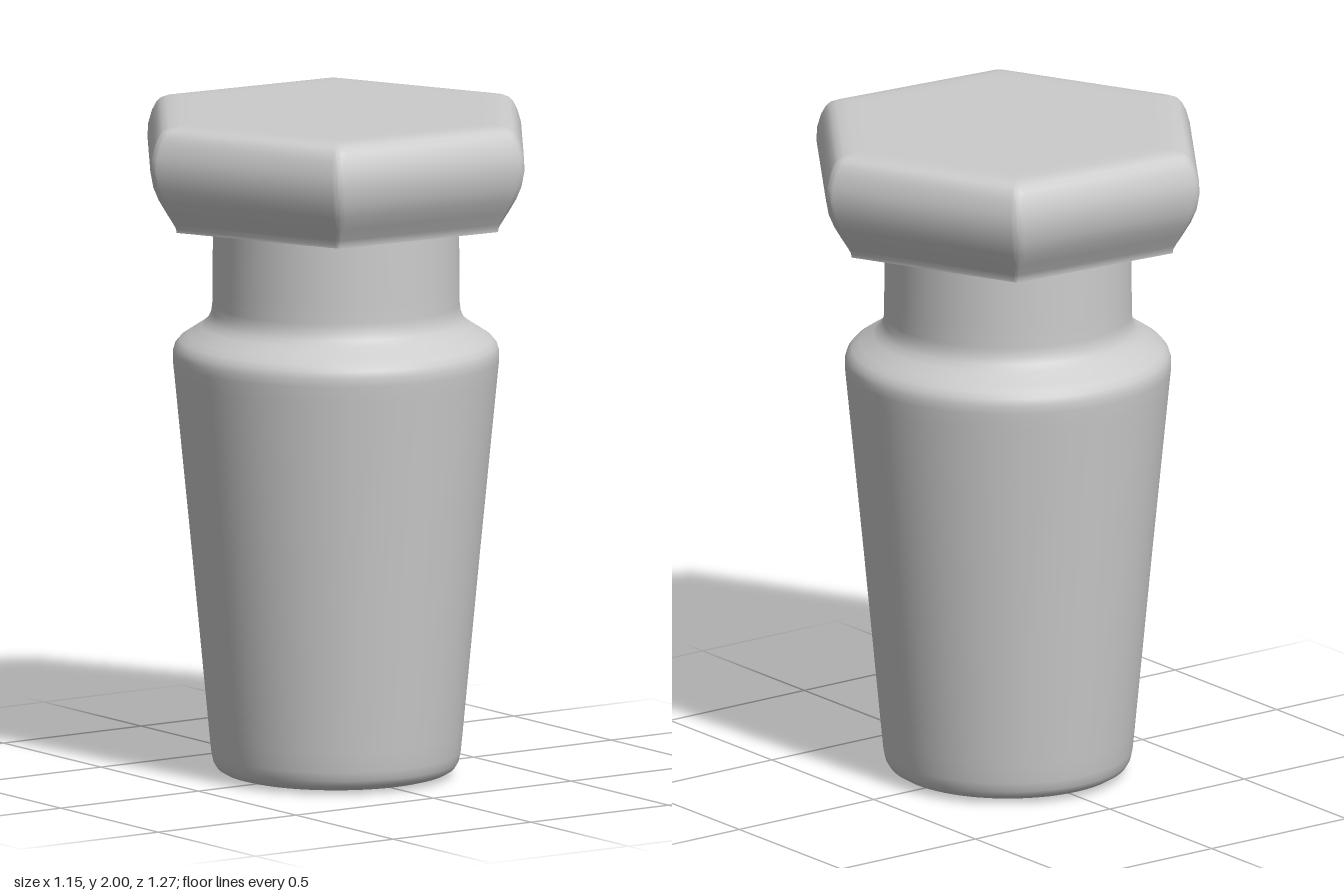
import * as THREE from 'three';
import { toCreasedNormals } from 'three/addons/utils/BufferGeometryUtils.js';

const TURN = THREE.MathUtils.degToRad(34.5); // direction of one hexagon corner
const ARC = 6; // segments per rounded corner

// Hexagon outline with rounded corners: a = centre to flat side, r = corner radius
function hexRing(y, a, r) {
  const ring = [];
  for (let k = 0; k < 6; k++) {
    const corner = TURN + k * Math.PI / 3;
    const d = (a - r) / Math.cos(Math.PI / 6);
    for (let i = 0; i <= ARC; i++) {
      const t = corner + (i / ARC - 0.5) * Math.PI / 3;
      ring.push(d * Math.cos(corner) + r * Math.cos(t), y, d * Math.sin(corner) + r * Math.sin(t));
    }
  }
  return ring;
}

// Skin stacked rings from bottom to top, closing both ends
function hexSolid(sections) {
  const n = 6 * (ARC + 1);
  const pos = sections.flatMap(s => hexRing(...s));
  const index = [];
  for (let j = 0; j < sections.length - 1; j++) {
    for (let i = 0; i < n; i++) {
      const a = j * n + i, b = j * n + (i + 1) % n;
      if (j < sections.length - 2) index.push(a, a + n, b + n);
      if (j > 0) index.push(a, b + n, b);
      else index.push(a, a + n, b + n);
    }
  }
  // the last band collapses to the centre point
  const top = (sections.length - 1) * n;
  for (let i = 0; i < n; i++) index.push(top - n + i, top, top - n + (i + 1) % n);
  const geo = new THREE.BufferGeometry();
  geo.setAttribute('position', new THREE.Float32BufferAttribute(pos, 3));
  geo.setIndex(index);
  return toCreasedNormals(geo, 0.85);
}

export function createModel() {
  const group = new THREE.Group();
  const material = new THREE.MeshStandardMaterial({ color: 0xcccccc });
  const add = (name, geo) => {
    const mesh = new THREE.Mesh(geo, material);
    mesh.name = name;
    group.add(mesh);
  };

  // Tapered plug with rounded foot, shoulder and neck
  const profile = [
    [0, 0], [0.27, 0], [0.31, 0.006], [0.335, 0.013], [0.353, 0.024], [0.364, 0.042], [0.37, 0.07],
    [0.376, 0.13], [0.428, 0.68], [0.479, 1.2], [0.484, 1.25], [0.484, 1.275], [0.478, 1.295],
    [0.464, 1.312], [0.44, 1.328], [0.4, 1.354], [0.38, 1.372], [0.37, 1.395],
    [0.367, 1.42], [0.367, 1.48], [0.364, 1.7],
  ].map(p => new THREE.Vector2(...p));
  add('taperedPlug', new THREE.LatheGeometry(profile, 96));

  // Hexagonal cap with bulging sides: height, half width across flats, corner radius
  add('hexCap', hexSolid([
    [1.68, 0, 0], [1.68, 0.477, 0.01], [1.69, 0.478, 0.01], [1.705, 0.486, 0.02],
    [1.74, 0.507, 0.03], [1.78, 0.53, 0.04], [1.82, 0.546, 0.04], [1.87, 0.555, 0.04],
    [1.91, 0.553, 0.04], [1.95, 0.542, 0.04], [1.975, 0.53, 0.04], [1.988, 0.518, 0.035],
    [1.996, 0.5, 0.03], [2, 0.47, 0.03], [2, 0.42, 0.03], [2, 0, 0],
  ]));
  return group;
}
